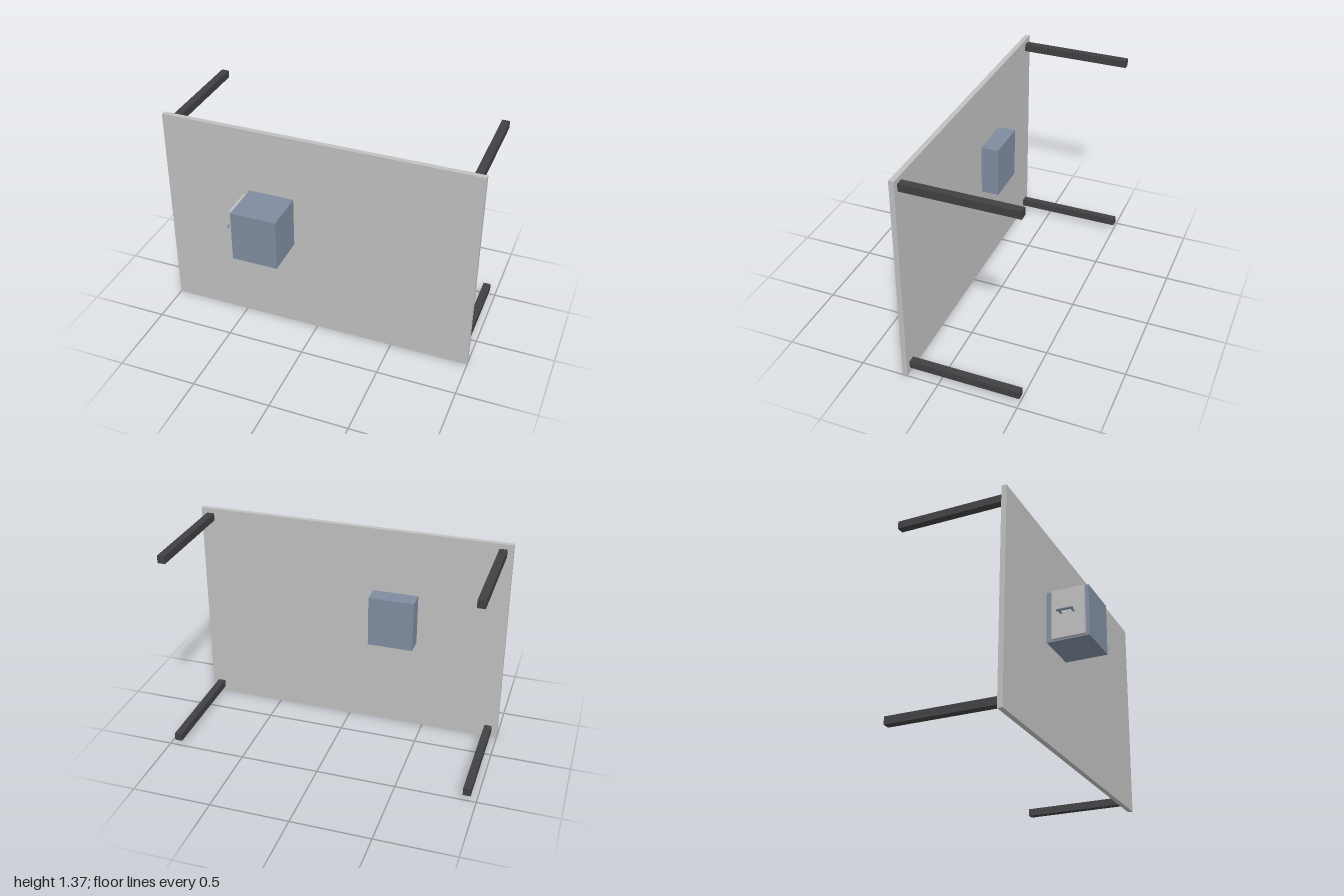
import * as THREE from 'three';

export function createModel() {
  const model = new THREE.Group();
  const panelGrey = new THREE.MeshStandardMaterial({ name: 'panelGrey', color: 0xbfbfbf });
  const slateBlue = new THREE.MeshStandardMaterial({ name: 'slateBlue', color: 0x7f8c9f });
  const charcoal = new THREE.MeshStandardMaterial({ name: 'charcoal', color: 0x404043 });

  const add = (name, geometry, material, x, y, z, parent = model) => {
    const mesh = new THREE.Mesh(geometry, material);
    mesh.name = name;
    mesh.position.set(x, y, z);
    parent.add(mesh);
    return mesh;
  };
  // Box given by its minimum and maximum corners
  const box = (name, material, [x0, y0, z0], [x1, y1, z1]) =>
    add(name, new THREE.BoxGeometry(x1 - x0, y1 - y0, z1 - z0), material,
      (x0 + x1) / 2, (y0 + y1) / 2, (z0 + z1) / 2);

  // Upright table top
  box('tableTop', panelGrey, [-1, 0, 0.2], [1, 1.365, 0.232]);

  // Four legs pointing backwards
  for (const x of [-0.94, 0.94])
    for (const y of [0.06, 1.31])
      box('leg', charcoal, [x - 0.024, y - 0.024, -0.5], [x + 0.024, y + 0.024, 0.2]);

  // Cabinet passing through the top, with a drawer front on its right side
  box('cabinet', slateBlue, [-0.44, 0.618, 0.085], [-0.15, 0.948, 0.5]);
  box('drawerFront', panelGrey, [-0.46, 0.625, 0.272], [-0.44, 0.942, 0.478]);

  // Handle: rounded bar on two posts
  const handle = new THREE.Group();
  handle.name = 'handle';
  model.add(handle);
  add('handleBar', new THREE.CapsuleGeometry(0.008, 0.09, 6, 16), slateBlue, -0.503, 0.783, 0.372, handle)
    .rotation.x = Math.PI / 2;
  for (const z of [0.333, 0.411])
    add('handlePost', new THREE.CylinderGeometry(0.006, 0.006, 0.043, 16), slateBlue, -0.4815, 0.783, z, handle)
      .rotation.z = Math.PI / 2;

  return model;
}
